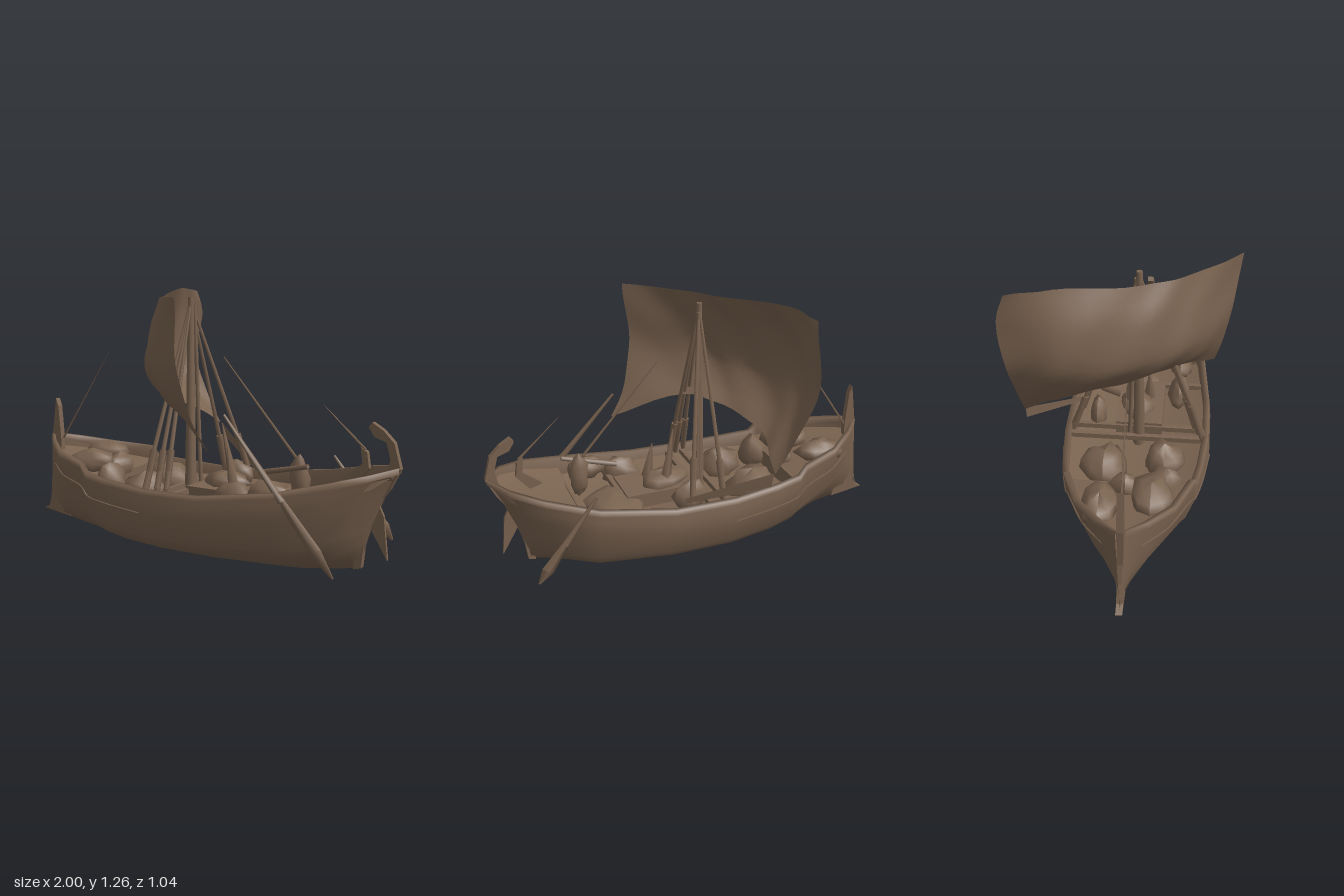
import * as THREE from 'three';

const CZ = 0.055; // centre line of the hull
const V = (x, y, z) => new THREE.Vector3(x, y, z);
const lerp = THREE.MathUtils.lerp;

// Hull stations: x at keel, x at rim, keel height, rim height, half width, fullness
const stations = [
  [-0.985, -0.925, 0.09, 0.5, 0.02, 0],
  [-0.9, -0.84, 0.075, 0.48, 0.11, 0.1],
  [-0.73, -0.7, 0.045, 0.45, 0.22, 0.4],
  [-0.5, -0.5, 0.02, 0.43, 0.3, 0.75],
  [-0.46, -0.46, 0.015, 0.385, 0.31, 0.8],
  [-0.33, -0.33, 0.005, 0.37, 0.335, 0.9],
  [-0.1, -0.1, 0.003, 0.355, 0.36, 1],
  [0.2, 0.2, 0.005, 0.36, 0.362, 1],
  [0.55, 0.55, 0.01, 0.41, 0.325, 0.95],
  [0.71, 0.78, 0.035, 0.465, 0.24, 0.8],
  [0.79, 0.91, 0.05, 0.495, 0.145, 0.6],
  [0.835, 0.995, 0.065, 0.515, 0.012, 0],
];
// Section levels: height fraction, width when full, width when sharp
const levels = [[0, 0, 0], [0.13, 0.53, 0.12], [0.25, 0.8, 0.25], [0.39, 0.94, 0.42],
  [0.7, 1, 0.75], [0.86, 0.99, 0.9], [1, 0.96, 1]];

// Smooth sheet from rows of points
function sheet(rows) {
  const n = rows[0].length, pos = [], idx = [];
  rows.forEach(r => r.forEach(p => pos.push(p.x, p.y, p.z)));
  for (let i = 0; i < rows.length - 1; i++) {
    for (let j = 0; j < n - 1; j++) {
      const a = i * n + j, b = a + n;
      idx.push(a, a + 1, b, b, a + 1, b + 1);
    }
  }
  const g = new THREE.BufferGeometry();
  g.setAttribute('position', new THREE.Float32BufferAttribute(pos, 3));
  g.setIndex(idx);
  g.computeVertexNormals();
  return g;
}

function halfWidth(x) {
  for (let i = 0; i < stations.length - 1; i++) {
    const a = stations[i], b = stations[i + 1];
    if (x <= b[1]) return lerp(a[4], b[4], Math.max(0, (x - a[1]) / (b[1] - a[1])));
  }
  return 0.01;
}

export function createModel() {
  const group = new THREE.Group();
  const wood = new THREE.MeshStandardMaterial({ color: 0x7a6350, side: THREE.DoubleSide });
  wood.name = 'weathered brown';

  const add = (name, geo) => {
    const m = new THREE.Mesh(geo, wood);
    m.name = name;
    group.add(m);
    return m;
  };
  // Tapered round bar between two points
  const bar = (name, a, b, r0, r1, sides = 6) => {
    const d = b.clone().sub(a);
    const m = add(name, new THREE.CylinderGeometry(r1, r0, d.length(), sides));
    m.position.copy(a).addScaledVector(d, 0.5);
    m.quaternion.setFromUnitVectors(V(0, 1, 0), d.normalize());
    return m;
  };
  // Flat outline in the x-y plane, extruded across the centre line
  const plate = (name, pts, depth) => {
    const s = new THREE.Shape(pts.map(p => new THREE.Vector2(...p)));
    const g = new THREE.ExtrudeGeometry(s, { depth, bevelEnabled: false });
    g.translate(0, 0, CZ - depth / 2);
    return add(name, g);
  };

  // Outer planking: the bow hooks forward at the foot, the stern rakes aft
  const side = ([xb, xt, k, s, w, f], sign) => levels.map(([t, full, sharp]) =>
    V(lerp(xb, xt, Math.pow(t, xb < 0 ? 0.5 : 1.5)), lerp(k, s, t), CZ + sign * w * lerp(sharp, full, f)));
  add('hull', sheet(stations.map(st => [...side(st, 1).reverse(), ...side(st, -1).slice(1)])));

  // Rim and inner bulwark on both sides
  for (const sign of [1, -1]) {
    add('gunwale', sheet(stations.map(([, x, , s, w, f]) => {
      const o = w * lerp(1, 0.96, f), inn = Math.max(0, o - 0.025);
      return [V(x, s - 0.025, CZ + sign * (o + 0.005)), V(x, s + 0.002, CZ + sign * (o + 0.004)),
        V(x, s + 0.002, CZ + sign * inn), V(x, s - 0.02 - 0.07 * f, CZ + sign * inn)];
    })));
    // Wale along the forward planking
    const path = stations.slice(1, 7).map(st => side(st, sign)[4]);
    add('wale', new THREE.TubeGeometry(new THREE.CatmullRomCurve3(path), 30, 0.005, 4));
  }

  // Dished decks at three levels: height at the middle, rise toward the sides
  const deck = (name, x0, x1, y0, y1, rise) => {
    const rows = [];
    for (let i = 0; i <= 10; i++) {
      const x = lerp(x0, x1, i / 10), w = halfWidth(x) * 0.92, y = lerp(y0, y1, i / 10);
      rows.push([-1, -0.85, -0.6, -0.3, 0, 0.3, 0.6, 0.85, 1].map(k => V(x, y + rise * k * k, CZ + k * w)));
    }
    add(name, sheet(rows));
  };
  deck('foreDeck', -0.9, -0.46, 0.42, 0.35, 0.01);
  deck('holdFloor', -0.47, 0.61, 0.26, 0.27, 0.05);
  deck('aftDeck', 0.6, 0.97, 0.34, 0.46, 0.03);
  for (const [x, y] of [[-0.46, 0.35], [0.6, 0.35]]) {
    add('bulkhead', new THREE.BoxGeometry(0.012, 0.09, halfWidth(x) * 1.8)).position.set(x, y - 0.045, CZ);
  }
  for (const x of [-0.08, 0, 0.37]) {
    add('crossBeam', new THREE.BoxGeometry(0.025, 0.025, halfWidth(x) * 1.85)).position.set(x, 0.32, CZ);
  }
  add('hatchCover', new THREE.BoxGeometry(0.36, 0.07, 0.23)).position.set(0.18, 0.31, 0.06);

  // Bow stem with forefoot, curled stern post and centre rudder
  plate('bowStem', [[-1, 0.09], [-0.955, 0.11], [-0.93, 0.2], [-0.915, 0.3], [-0.928, 0.5], [-0.9, 0.69],
    [-0.885, 0.65], [-0.87, 0.48], [-0.87, 0.3], [-0.82, 0.065]], 0.03);
  plate('sternPost', [[0.8, 0.05], [0.835, 0.06], [0.85, 0.2], [0.885, 0.32], [0.955, 0.42], [1, 0.51],
    [0.97, 0.62], [0.92, 0.67], [0.87, 0.7], [0.855, 0.68], [0.88, 0.64], [0.935, 0.62], [0.955, 0.55], [0.94, 0.48],
    [0.83, 0.3]], 0.03);
  plate('sternBracket', [[0.74, 0.45], [0.83, 0.52], [0.82, 0.59], [0.85, 0.57], [0.86, 0.5], [0.8, 0.43]], 0.025);
  plate('rudder', [[0.86, 0.26], [0.95, 0.11], [0.93, 0.3], [0.9, 0.36]], 0.015);

  // Billowing sail: rows run from top to foot, points from the right end to the left end
  const sailRows = [
    [[-0.37, 1.25, -0.48], [-0.33, 1.265, -0.28], [-0.19, 1.225, 0.08], [-0.05, 1.22, 0.3], [0.17, 1.22, 0.52]],
    [[-0.365, 1.12, -0.52], [-0.39, 1.08, -0.26], [-0.26, 1.07, 0.08], [-0.1, 1.07, 0.3], [0.165, 1.06, 0.5]],
    [[-0.38, 0.9, -0.49], [-0.4, 0.9, -0.25], [-0.28, 0.88, 0.08], [-0.13, 0.9, 0.3], [0.16, 0.9, 0.48]],
    [[-0.3, 0.7, -0.47], [-0.34, 0.77, -0.25], [-0.23, 0.78, 0.06], [-0.08, 0.78, 0.27], [0.2, 0.72, 0.45]],
    [[-0.2, 0.55, -0.46], [-0.24, 0.66, -0.25], [-0.16, 0.705, 0.03], [-0.03, 0.71, 0.22], [0.29, 0.56, 0.42]],
  ];
  const across = sailRows.map(r => new THREE.CatmullRomCurve3(r.map(p => V(...p))).getPoints(20));
  const columns = across[0].map((_, j) => new THREE.CatmullRomCurve3(across.map(r => r[j])).getPoints(16));
  columns.forEach((c, j) => c.forEach((p, i) => { p.x += 0.006 * Math.sin(j * 1.3 + i * 0.7); }));
  add('sail', sheet(columns));

  // Mast, second spar and shrouds
  const top = V(-0.05, 1.2, 0.06);
  bar('mast', V(-0.05, 0.2, 0.065), V(-0.05, 1.22, 0.06), 0.03, 0.014, 8);
  bar('spar', V(-0.02, 0.25, 0.015), V(-0.04, 1.18, 0.045), 0.01, 0.01);
  for (const [x, y, z] of [[-0.09, 0.36, 0.38], [-0.04, 0.36, 0.36], [0, 0.36, 0.34],
    [-0.05, 0.36, -0.26], [0.1, 0.38, -0.23]]) {
    bar('shroud', V(x, y, z), top, 0.012, 0.007, 5);
    bar('deadeye', V(x, y - 0.03, z), V(lerp(x, -0.05, 0.2), y + 0.17, lerp(z, 0.06, 0.2)), 0.014, 0.018, 5);
  }

  // Strap from the sail's right corner, and thin stays
  const strap = [[V(-0.2, 0.555, -0.46), V(-0.19, 0.49, -0.46)], [V(0.14, 0.385, -0.24), V(0.14, 0.36, -0.24)]];
  add('sailStrap', sheet(strap));
  bar('foreStay', V(-0.87, 0.48, 0.05), V(-0.55, 0.95, 0.05), 0.006, 0.001, 4);
  bar('aftStay', V(0.55, 0.5, 0.1), V(0.15, 0.95, 0.09), 0.008, 0.003, 4);
  bar('sternStay', V(0.84, 0.58, 0.06), V(0.64, 0.76, 0.06), 0.007, 0.001, 4);

  // Steering oars: shaft plus pointed flat blade
  for (const [a, b] of [[V(0.3, 0.72, 0.33), V(0.845, 0.1, 0.38)], [V(0.56, 0.48, -0.24), V(0.85, 0.11, -0.26)]]) {
    const oar = new THREE.Group();
    oar.name = 'steeringOar';
    const d = b.clone().sub(a);
    const along = t => a.clone().addScaledVector(d, t);
    oar.add(bar('oarShaft', a, along(0.55), 0.006, 0.016));
    const upper = bar('oarBlade', along(0.45), along(0.85), 0.014, 0.032, 4);
    const tip = bar('oarTip', along(0.85), b, 0.032, 0.006, 4);
    upper.scale.z = tip.scale.z = 0.35;
    oar.add(upper, tip);
    group.add(oar);
  }

  // Rough bundles of cargo and cloth: centre, then half sizes
  let seed = 7;
  const rand = () => (seed = (seed * 16807) % 2147483647) / 2147483647;
  const bundles = [
    [-0.66, 0.41, -0.06, 0.13, 0.06, 0.09], [-0.58, 0.4, 0.16, 0.14, 0.07, 0.1],
    [-0.5, 0.37, 0.04, 0.06, 0.07, 0.09], [-0.42, 0.32, 0.22, 0.08, 0.1, 0.08],
    [-0.28, 0.3, -0.08, 0.15, 0.09, 0.12], [-0.22, 0.3, 0.2, 0.11, 0.1, 0.1],
    [0.08, 0.35, -0.15, 0.09, 0.08, 0.05], [0.14, 0.35, 0.04, 0.12, 0.06, 0.09],
    [0.3, 0.33, 0.25, 0.11, 0.08, 0.06], [0.43, 0.3, -0.03, 0.15, 0.05, 0.2],
    [0.55, 0.43, 0.1, 0.05, 0.11, 0.04], [0.48, 0.38, 0.25, 0.1, 0.06, 0.06],
  ];
  for (const [x, y, z, sx, sy, sz] of bundles) {
    const g = new THREE.SphereGeometry(1, 9, 6), p = g.attributes.position;
    for (let i = 10; i < 60; i++) {
      const k = 0.75 + 0.35 * rand();
      p.setXYZ(i, p.getX(i) * k, p.getY(i) * k, p.getZ(i) * k);
    }
    // Close the seam
    for (let i = 0; i < 7; i++) p.setXYZ(i * 10 + 9, p.getX(i * 10), p.getY(i * 10), p.getZ(i * 10));
    g.scale(sx, sy, sz);
    g.computeVertexNormals();
    add('cargoBundle', g).position.set(x, y, z);
  }
  bar('uprightPole', V(0.15, 0.36, 0), V(0.1, 0.63, 0.02), 0.03, 0.003, 4);
  bar('uprightPole', V(0.21, 0.36, 0.1), V(0.18, 0.53, 0.1), 0.03, 0.003, 4);
  bar('tillerBar', V(0.36, 0.44, 0.12), V(0.62, 0.5, 0.16), 0.014, 0.012, 5);

  return group;
}
